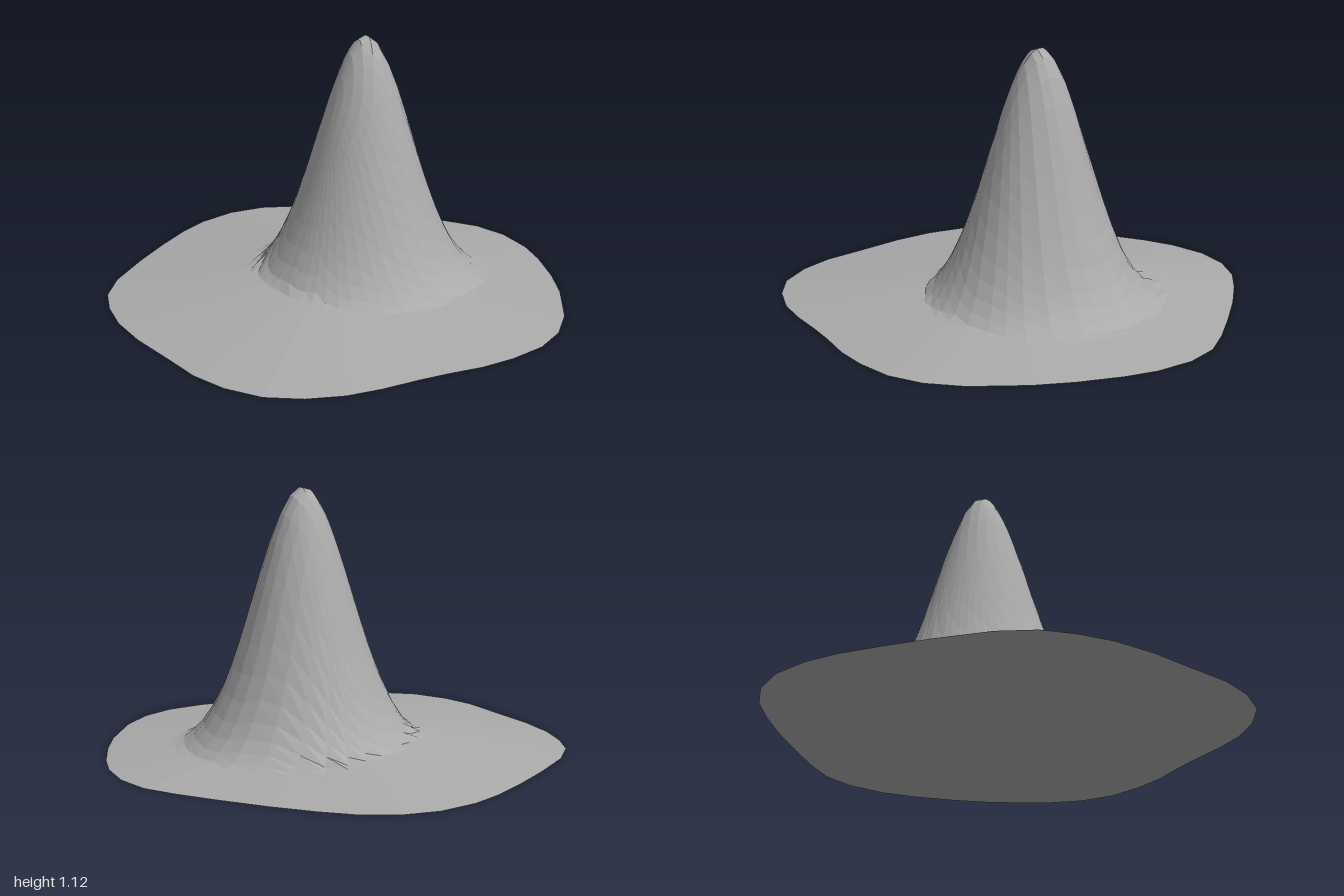
import * as THREE from 'three';

// Rim of the plate as x, z pairs in hundredths, clockwise from above
const RIM = [
  -98, 1, -95, -15, -86, -36, -77, -54, -68, -70, -59, -82, -46, -93, -31, -99, -15, -100,
  1, -97, 19, -92, 39, -85, 57, -78, 71, -71, 82, -60, 90, -45, 94, -31, 97, -12, 98, 5,
  97, 18, 96, 30, 91, 46, 82, 59, 69, 69, 56, 76, 42, 81, 30, 86, 15, 93, 1, 98,
  -15, 100, -31, 98, -46, 90, -58, 79, -68, 65, -82, 46, -91, 30, -96, 15,
];
const SECTORS = RIM.length / 2;
const RINGS = 24;
const PEAK = { x: 0.135, z: -0.085, height: 1.125, spread: 0.084 };

// Gentle cone over the whole plate, with a bell-shaped peak rising through it
function height(x, z, t) {
  const d2 = (x - PEAK.x) ** 2 + (z - PEAK.z) ** 2;
  const bell = PEAK.height * Math.exp(-d2 / PEAK.spread);
  return Math.max(0.135 * (1 - t), t < 1 ? bell : 0);
}

// Polar grid of rings that are scaled copies of the rim; flat or raised
function polarGrid(rings, heightAt, faceUp) {
  const pos = [0, heightAt(0, 0, 0), 0];
  const index = [];
  const tri = (a, b, c) => (faceUp ? index.push(a, b, c) : index.push(a, c, b));
  for (let r = 1; r <= rings; r++) {
    const t = r / rings;
    for (let s = 0; s < SECTORS; s++) {
      const x = (RIM[2 * s] / 100) * t;
      const z = (RIM[2 * s + 1] / 100) * t;
      pos.push(x, heightAt(x, z, t), z);
      const n = (s + 1) % SECTORS;
      const outer = 1 + (r - 1) * SECTORS;
      const inner = outer - SECTORS;
      if (r === 1) {
        tri(0, outer + n, outer + s);
      } else {
        tri(inner + s, inner + n, outer + s);
        tri(inner + n, outer + n, outer + s);
      }
    }
  }
  const geometry = new THREE.BufferGeometry();
  geometry.setAttribute('position', new THREE.Float32BufferAttribute(pos, 3));
  geometry.setIndex(index);
  geometry.computeVertexNormals();
  return geometry;
}

export function createModel() {
  const model = new THREE.Group();
  model.name = 'peakedIsland';
  const stone = new THREE.MeshStandardMaterial({ color: 0xaaaaaa, flatShading: true });
  stone.name = 'grey stone';

  // Sloping plate and peak
  const top = new THREE.Mesh(polarGrid(RINGS, height, true), stone);
  top.name = 'slopeAndPeak';

  // Flat underside
  const underside = new THREE.Mesh(polarGrid(1, () => 0, false), stone);
  underside.name = 'underside';

  model.add(top, underside);
  return model;
}
